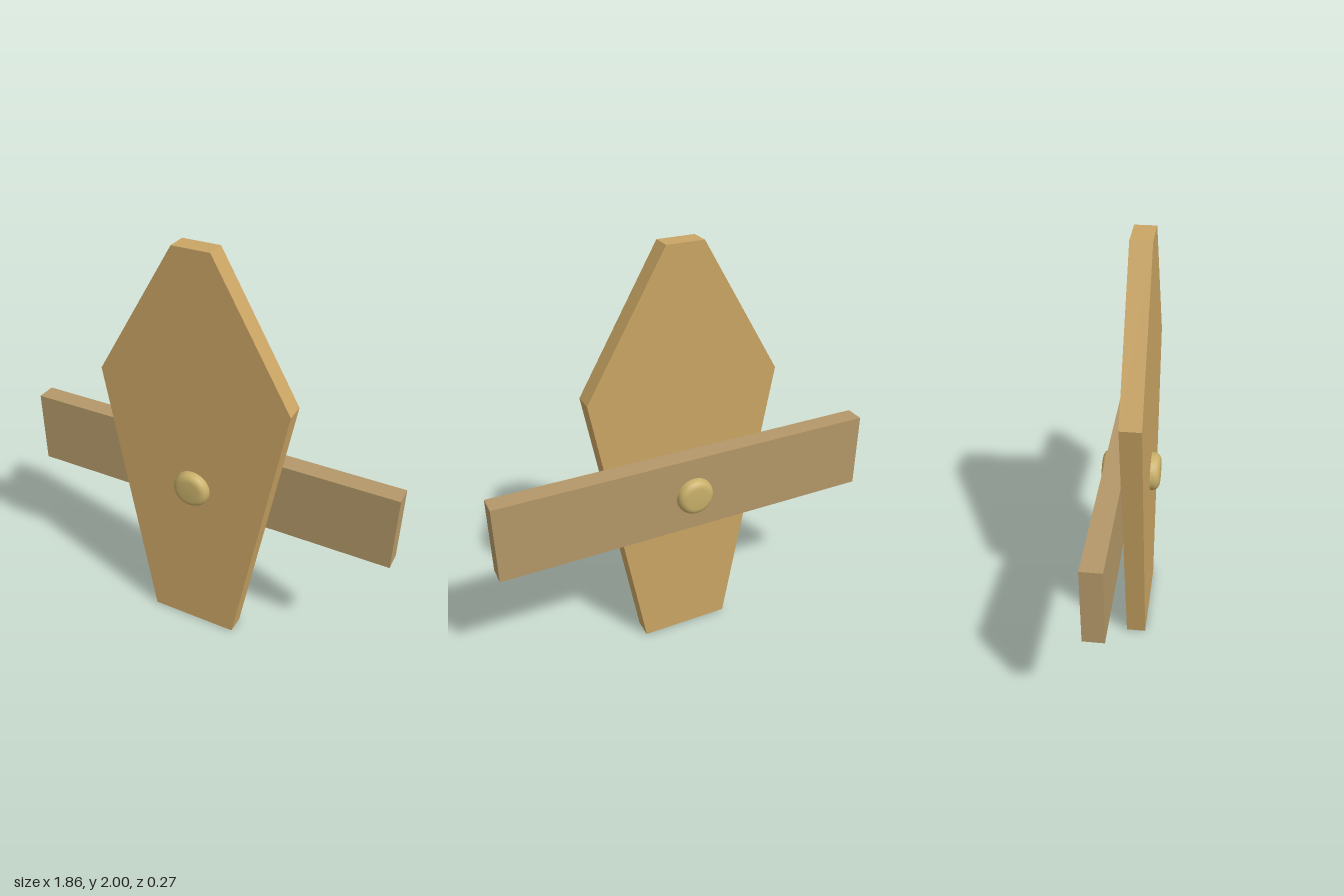
import * as THREE from 'three';
import { toCreasedNormals } from 'three/addons/utils/BufferGeometryUtils.js';

const CX = -0.013; // centre line of the board and pin
const THICK = 0.093; // thickness of both planks

function addPart(group, name, geometry, color) {
  const mesh = new THREE.Mesh(geometry, new THREE.MeshStandardMaterial({ color }));
  mesh.name = name;
  group.add(mesh);
  return mesh;
}

export function createModel() {
  const group = new THREE.Group();
  group.name = 'crossedPlanks';

  // Tall six-sided board in front, mirrored about its centre line
  const half = [[0.22, 0], [0.461, 1.363], [0.087, 2]];
  const outline = [
    ...half.map(([x, y]) => new THREE.Vector2(x, y)),
    ...half.slice().reverse().map(([x, y]) => new THREE.Vector2(-x, y)),
  ];
  const boardGeometry = new THREE.ExtrudeGeometry(new THREE.Shape(outline), {
    depth: THICK,
    bevelEnabled: false,
  });
  addPart(group, 'board', boardGeometry, 0xcaa564).position.x = CX;

  // Crossbar behind the board
  const bar = addPart(group, 'crossbar', new THREE.BoxGeometry(1.856, 0.371, THICK), 0xb39868);
  bar.position.set(-0.002, 0.851, -THICK / 2 - 0.001);

  // Round pin through both planks, with rounded rims on its two ends
  const radius = 0.09, round = 0.036, end = 0.136;
  const profile = [new THREE.Vector2(0, -end)];
  for (const side of [-1, 1]) {
    for (let i = 0; i <= 6; i++) {
      const a = (side < 0 ? i - 6 : i) * Math.PI / 12;
      profile.push(new THREE.Vector2(
        radius - round + round * Math.cos(a),
        side * (end - round) + round * Math.sin(a),
      ));
    }
  }
  profile.push(new THREE.Vector2(0, end));
  const pinGeometry = toCreasedNormals(new THREE.LatheGeometry(profile, 40), 0.5);
  pinGeometry.rotateX(Math.PI / 2);
  addPart(group, 'pin', pinGeometry, 0xc8af69).position.set(CX, 0.845, 0);

  return group;
}
